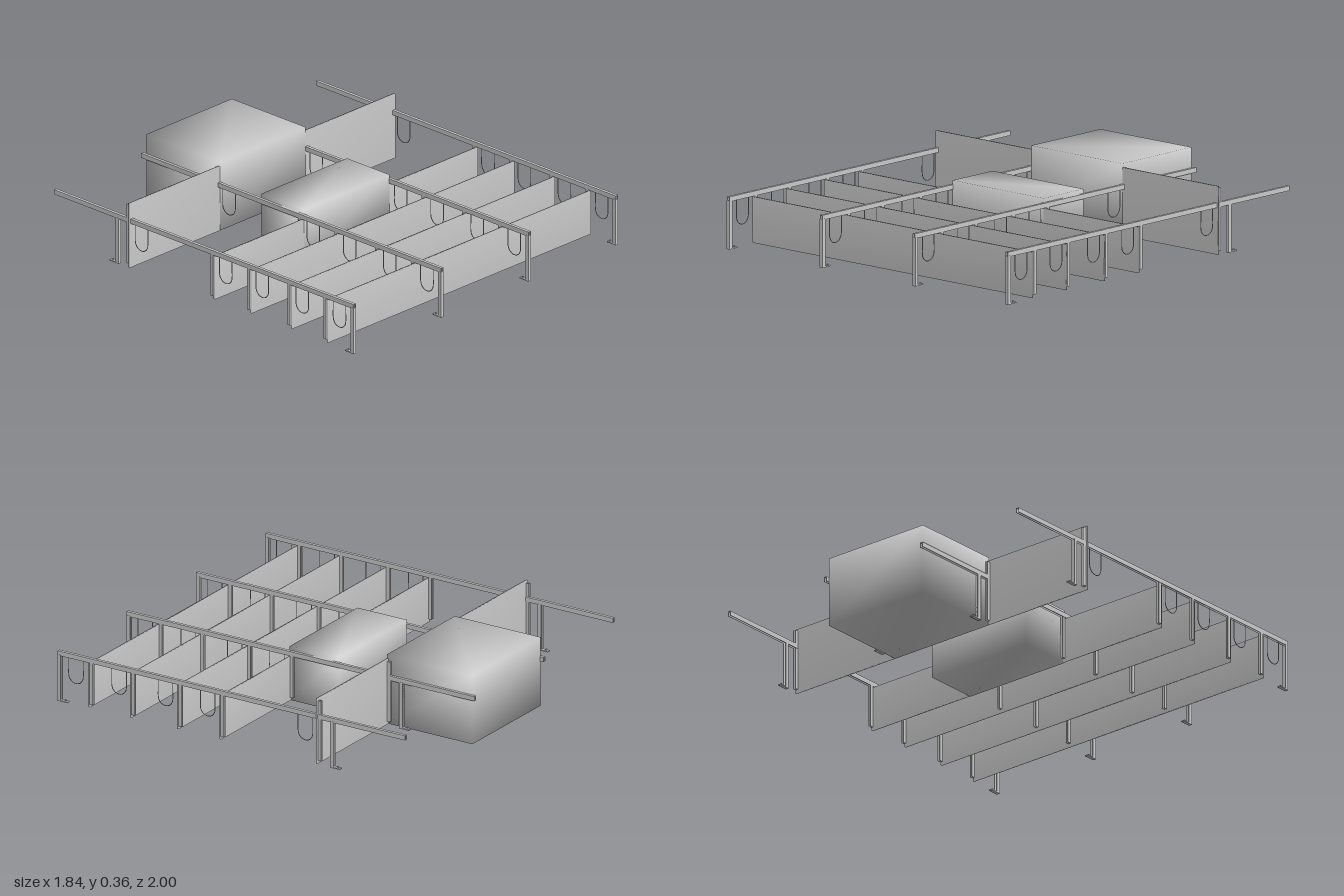
import * as THREE from 'three';
import { mergeVertices } from 'three/addons/utils/BufferGeometryUtils.js';

const grey = new THREE.MeshStandardMaterial({ color: 0xcccccc });
const railXs = [-0.915, -0.309, 0.296, 0.901];

function add(parent, name, geometry, x = 0, y = 0, z = 0) {
  const mesh = new THREE.Mesh(geometry, grey);
  mesh.name = name;
  mesh.position.set(x, y, z);
  parent.add(mesh);
  return mesh;
}

// Box given by its limits, with normals shared at the corners for soft shading
function softBox(parent, name, [x0, x1], [y0, y1], [z0, z1]) {
  let g = new THREE.BoxGeometry(x1 - x0, y1 - y0, z1 - z0);
  g.deleteAttribute('normal');
  g.deleteAttribute('uv');
  g = mergeVertices(g);
  g.computeVertexNormals();
  add(parent, name, g, (x0 + x1) / 2, (y0 + y1) / 2, (z0 + z1) / 2);
}

// U-shaped strut, open towards -y of its section, running along +z
function channel(width, depth, length, wall = 0.003) {
  const w = width / 2, d = depth / 2, i = w - wall;
  const s = new THREE.Shape();
  s.moveTo(-w, -d);
  s.lineTo(-i, -d);
  s.lineTo(-i, d - wall);
  s.lineTo(i, d - wall);
  s.lineTo(i, -d);
  s.lineTo(w, -d);
  s.lineTo(w, d);
  s.lineTo(-w, d);
  s.closePath();
  return new THREE.ExtrudeGeometry(s, { depth: length, bevelEnabled: false });
}

// Same strut standing upright, its web towards +z
function upright(width, depth, length) {
  return channel(width, depth, length).rotateX(-Math.PI / 2).rotateY(Math.PI);
}

// Hanging cable: two straight legs and a half round bottom, in the y-z plane
function cableLoop() {
  const r = 0.042, top = 0.235, low = 0.15;
  const path = new THREE.CurvePath();
  const v = (y, z) => new THREE.Vector3(0, y, z);
  const points = [v(top, r), v((top + low) / 2, r)];
  for (let i = 0; i <= 8; i++) {
    const a = (i / 8) * Math.PI;
    points.push(v(low - r * Math.sin(a), r * Math.cos(a)));
  }
  points.push(v((top + low) / 2, -r), v(top, -r));
  return new THREE.TubeGeometry(new THREE.CatmullRomCurve3(points), 32, 0.0022, 6);
}

export function createModel() {
  const model = new THREE.Group();
  model.name = 'railFrame';

  // Panels: [z, top, left end, right end]
  const panels = [
    [0.82, 0.23, -0.917, 0.904],
    [0.58, 0.23, -0.917, 0.904],
    [0.31, 0.23, -0.917, 0.904],
    [0.066, 0.23, -0.917, -0.303],
    [0.066, 0.23, 0.29, 0.904],
    [-0.493, 0.34, -0.926, -0.303],
    [-0.493, 0.34, 0.29, 0.911],
  ];
  for (const [z, top, x0, x1] of panels) {
    softBox(model, 'panel', [x0, x1], [0.004, top], [z - 0.005, z + 0.005]);
  }

  // Large and small blocks in the middle bay
  softBox(model, 'largeBlock', [-0.303, 0.29], [0.004, 0.36], [-0.98, -0.488]);
  softBox(model, 'smallBlock', [-0.303, 0.29], [0.002, 0.28], [-0.212, 0.071]);

  const railGeometry = channel(0.016, 0.024, 2);
  const postGeometry = upright(0.018, 0.02, 0.24);
  const hangerGeometry = upright(0.014, 0.018, 0.216);
  const tallHangerGeometry = upright(0.014, 0.018, 0.31);
  const footGeometry = new THREE.BoxGeometry(0.018, 0.006, 0.058);
  const boltGeometry = new THREE.CylinderGeometry(0.004, 0.004, 0.008, 6);
  const loopGeometry = cableLoop();

  for (const x of railXs) {
    const bay = new THREE.Group();
    bay.name = 'railAssembly';
    bay.position.x = x;
    model.add(bay);

    // Top rail
    add(bay, 'rail', railGeometry, 0, 0.247, -1);

    // Standing posts with flat feet pointing back
    for (const z of [0.99, -0.578]) {
      add(bay, 'post', postGeometry, 0, 0, z);
      add(bay, 'foot', footGeometry, 0, 0.003, z - 0.019);
      add(bay, 'footBolt', boltGeometry, 0, 0.009, z - 0.034);
    }

    // Hangers behind each panel
    for (const z of [0.82, 0.58, 0.31, 0.066]) {
      add(bay, 'hanger', hangerGeometry, 0, 0.02, z - 0.014);
    }
    add(bay, 'tallHanger', tallHangerGeometry, 0, 0.02, -0.507);

    // Cable loops below the rail
    for (const z of [0.898, 0.65, 0.383, 0.14, -0.422]) {
      add(bay, 'cableLoop', loopGeometry, 0, 0, z);
    }
  }
  return model;
}
